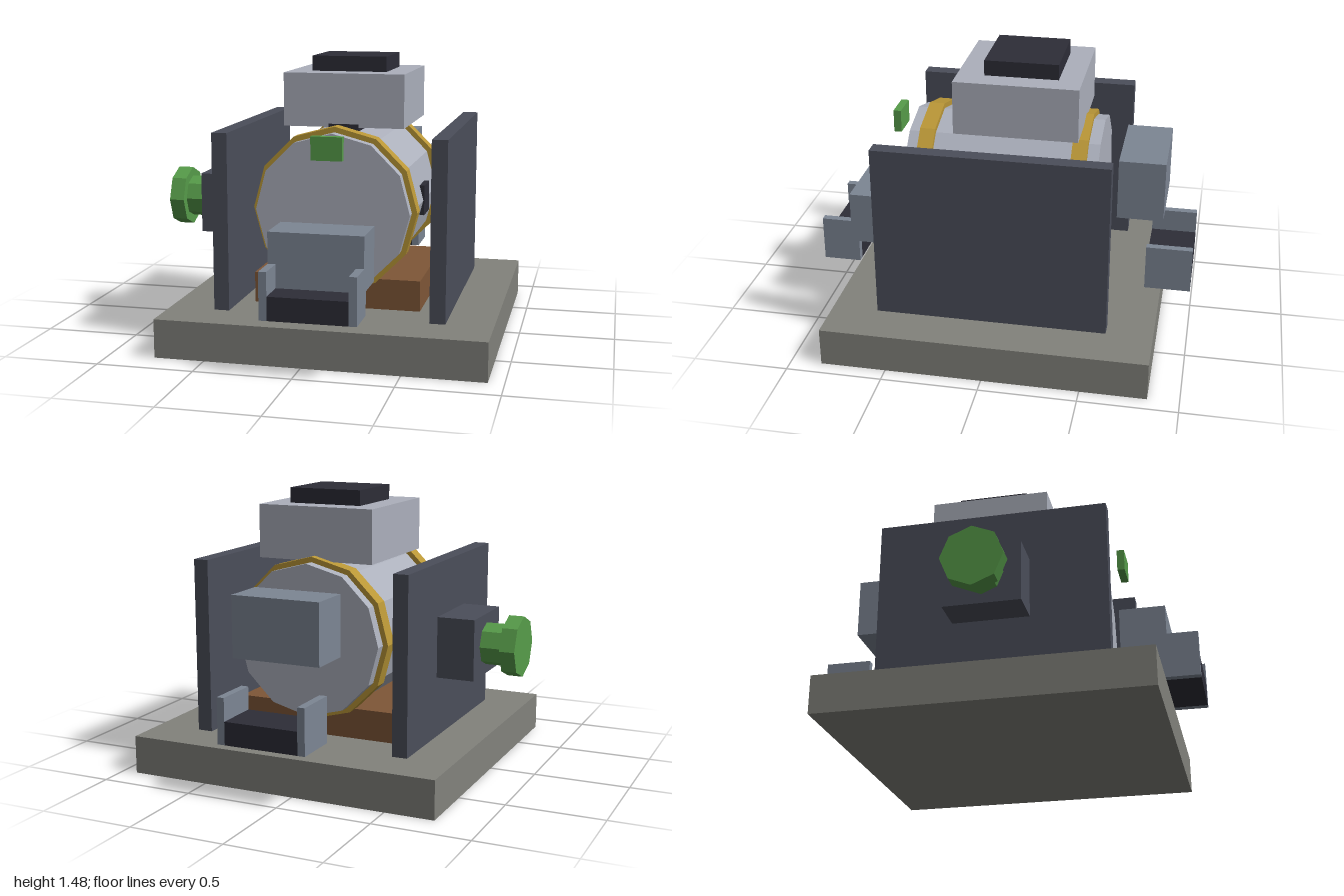
import * as THREE from 'three';

function material(name, color, flatShading = false) {
  const m = new THREE.MeshStandardMaterial({ color, flatShading });
  m.name = name;
  return m;
}

export function createModel() {
  const model = new THREE.Group();
  model.name = 'drumMachine';

  const stone = material('stone', 0x82827c);
  const slate = material('slate', 0x4b4e5a);
  const steel = material('steel', 0xacb0bc, true);
  const brass = material('brass', 0xba9737, true);
  const wood = material('wood', 0x7f5737);
  const blueGrey = material('blueGrey', 0x7d8694);
  const black = material('black', 0x2d2d37);
  const green = material('green', 0x579c4a, true);

  // Box given by its extents on each axis
  function box(name, mat, [x0, x1], [y0, y1], [z0, z1]) {
    const mesh = new THREE.Mesh(new THREE.BoxGeometry(x1 - x0, y1 - y0, z1 - z0), mat);
    mesh.position.set((x0 + x1) / 2, (y0 + y1) / 2, (z0 + z1) / 2);
    mesh.name = name;
    model.add(mesh);
  }

  // Faceted cylinder lying along x or z
  function cylinder(name, mat, radius, length, sides, axis, x, y, z) {
    const geo = new THREE.CylinderGeometry(radius, radius, length, sides);
    if (axis === 'z') geo.rotateX(Math.PI / 2);
    else geo.rotateZ(Math.PI / 2);
    const mesh = new THREE.Mesh(geo, mat);
    mesh.position.set(x, y, z);
    mesh.name = name;
    model.add(mesh);
  }

  // Base slab, cradle and side panels
  box('base', stone, [-0.76, 0.92], [0, 0.2], [-0.84, 0.84]);
  box('cradle', wood, [-0.36, 0.52], [0.2, 0.36], [-0.4, 0.4]);
  box('rightPanel', slate, [-0.52, -0.44], [0.2, 1.12], [-0.6, 0.6]);
  box('leftPanel', slate, [0.6, 0.68], [0.2, 1.12], [-0.6, 0.6]);

  // Drum with two brass bands
  cylinder('drum', steel, 0.4, 1, 12, 'z', 0.08, 0.72, 0);
  for (const z of [-0.4, 0.4]) cylinder('drumBand', brass, 0.428, 0.08, 12, 'z', 0.08, 0.72, z);

  // Dark shaft ends and neck, mostly buried in the drum
  box('shaft', black, [-0.325, 0.485], [0.64, 0.8], [-0.08, 0.08]);
  box('neck', black, [0, 0.16], [1.0, 1.137], [-0.2, 0.243]);

  // Hopper and lid on top
  box('hopper', steel, [-0.24, 0.4], [1.12, 1.4], [-0.4, 0.24]);
  box('hopperLid', black, [-0.12, 0.28], [1.4, 1.48], [-0.28, 0.1]);

  // Knob on the right panel
  box('knobMount', slate, [-0.72, -0.52], [0.52, 0.84], [-0.2, 0.2]);
  cylinder('knobStem', green, 0.112, 0.12, 8, 'x', -0.78, 0.68, 0);
  cylinder('knobCap', green, 0.16, 0.08, 8, 'x', -0.88, 0.68, 0);

  // Front and back chutes, and the indicator plate
  box('frontChute', blueGrey, [-0.16, 0.32], [0.4, 0.68], [0.6, 0.84]);
  box('backChute', blueGrey, [-0.16, 0.32], [0.68, 1.0], [-0.84, -0.6]);
  box('indicator', green, [0, 0.16], [1.0, 1.12], [0.58, 0.62]);

  // Trays with a rail on each side
  for (const [name, z] of [['front', [0.8, 1]], ['back', [-1, -0.76]]]) {
    box(name + 'Tray', black, [-0.12, 0.28], [0.28, 0.4], z);
    for (const x of [-0.16, 0.28]) box(name + 'TrayRail', blueGrey, [x, x + 0.04], [0.28, 0.52], z);
  }

  return model;
}
